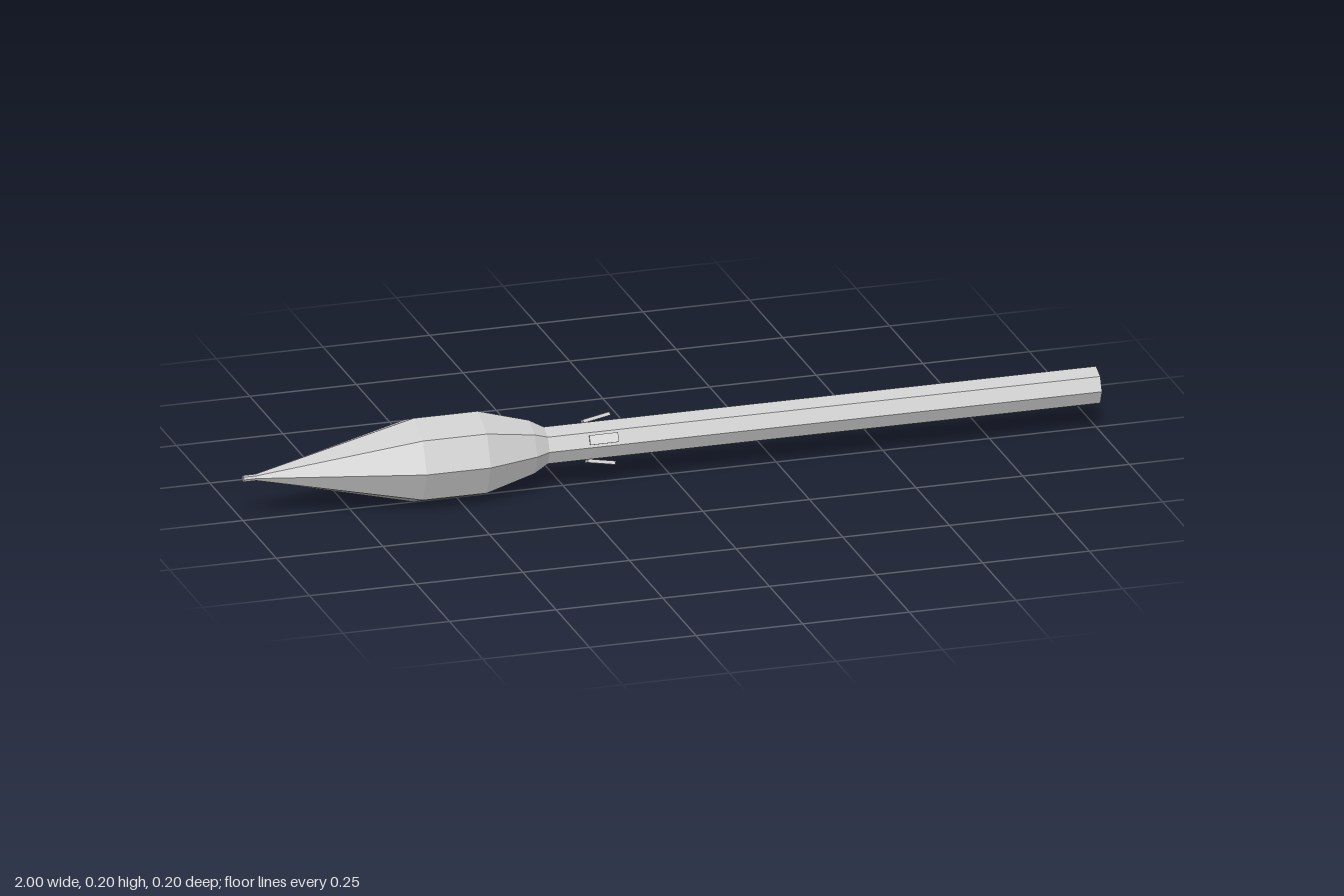
import * as THREE from 'three';

export function createModel() {
  const group = new THREE.Group();
  const material = new THREE.MeshStandardMaterial({ color: 0xcccccc, flatShading: true });
  const axisY = 0.1;

  // Octagonal part turned about the long axis; points are [radius, distance towards the tip]
  function turned(name, points) {
    const profile = points.map(([r, d]) => new THREE.Vector2(r, d));
    const geometry = new THREE.LatheGeometry(profile, 8).rotateZ(Math.PI / 2);
    const mesh = new THREE.Mesh(geometry, material);
    mesh.name = name;
    mesh.position.y = axisY;
    group.add(mesh);
  }

  turned('shaft', [[0, -1], [0.045, -1], [0.045, 0.3]]);
  turned('head', [
    [0.045, 0.295], [0.065, 0.33], [0.1, 0.45], [0.1, 0.6], [0.008, 0.97], [0.008, 1], [0, 1],
  ]);

  // Four small flaps, flared away from the shaft, each lying on a flat side
  for (let i = 0; i < 4; i++) {
    const fin = new THREE.Group();
    fin.name = 'fin' + (i + 1);
    const flap = new THREE.Mesh(new THREE.BoxGeometry(0.065, 0.008, 0.022), material);
    flap.name = 'flap';
    flap.position.set(-0.168, 0.05, 0);
    flap.rotation.z = THREE.MathUtils.degToRad(10);
    fin.add(flap);
    fin.position.y = axisY;
    fin.rotation.x = -Math.PI / 8 + i * Math.PI / 2;
    group.add(fin);
  }
  return group;
}
